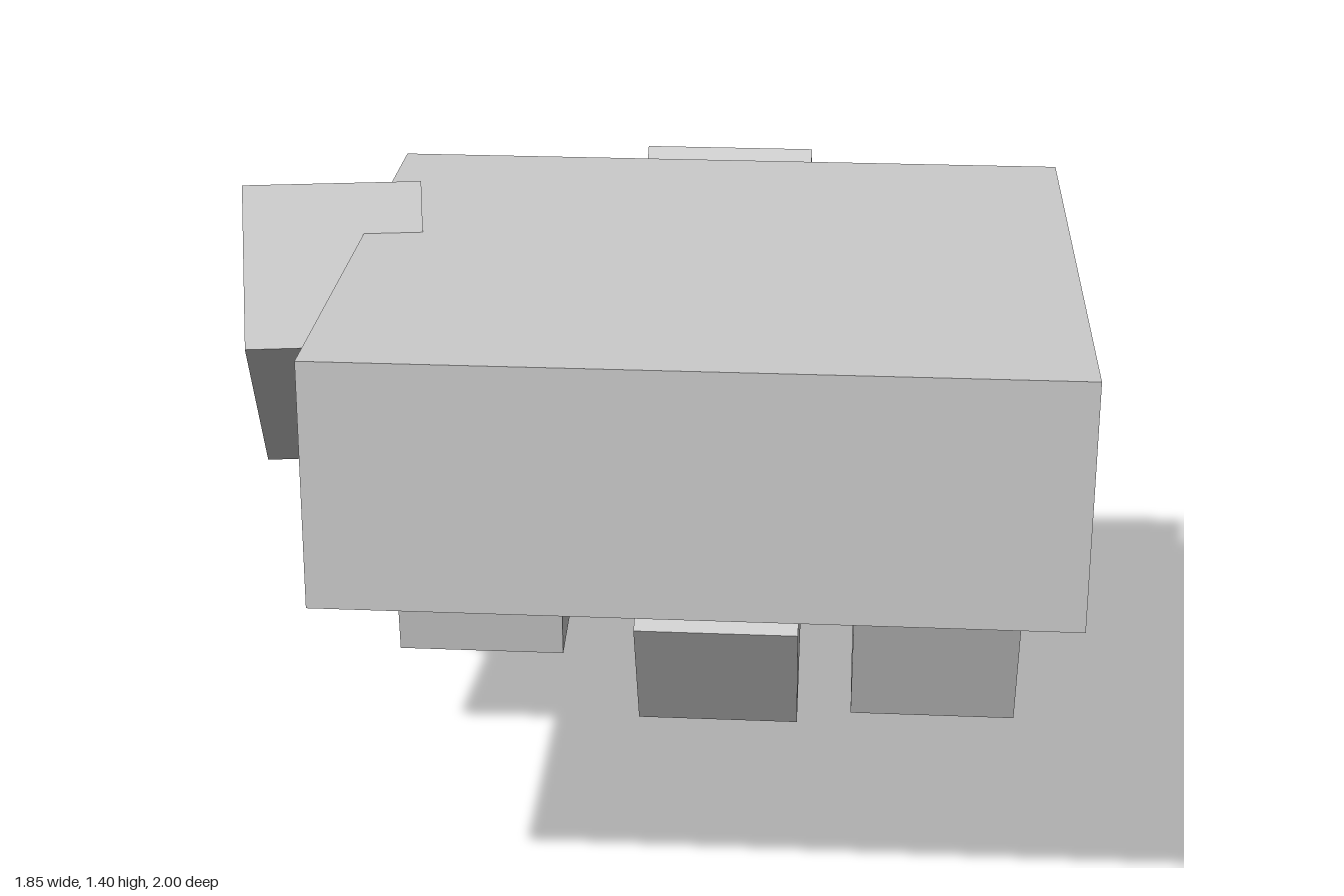
import * as THREE from 'three';

const WIDTH = 0.375;
const THICK = 0.36;
const rad = THREE.MathUtils.degToRad;
const material = new THREE.MeshStandardMaterial({ color: 0xcccccc, flatShading: true });

function block(name, geometry) {
  const mesh = new THREE.Mesh(geometry, material);
  mesh.name = name;
  return mesh;
}

// Upper segment hangs from its knuckle; lower segment curls back from its tip.
function finger(name, x, upper, lower) {
  const group = new THREE.Group();
  group.name = name;
  group.position.x = x;

  const top = block('upperSegment',
    new THREE.BoxGeometry(WIDTH, upper.length, THICK).translate(0, -upper.length / 2, THICK / 2));
  top.position.set(0, upper.y, upper.z);
  top.rotation.x = rad(upper.angle);

  const tip = block('lowerSegment',
    new THREE.BoxGeometry(WIDTH, THICK, lower.length).translate(0, THICK / 2, -lower.length / 2));
  tip.position.set(0, lower.y, lower.z);
  tip.rotation.x = rad(lower.angle);

  group.add(top, tip);
  return group;
}

export function createModel() {
  const model = new THREE.Group();
  model.name = 'blockHand';

  // Palm slab
  const palm = block('palm', new THREE.BoxGeometry(1.475, 0.5, 1.41));
  palm.position.set(0.1875, 1.06, 0.295);
  model.add(palm);

  // Three curled fingers
  model.add(
    finger('outerFinger', 0.6875,
      { y: 1.24, z: -0.61, angle: 18, length: 0.78 },
      { y: 0.09, z: -0.07, angle: 19.4, length: 0.78 }),
    finger('middleFinger', 0.1875,
      { y: 1.32, z: -0.48, angle: 35.3, length: 0.9 },
      { y: 0, z: -0.19, angle: 30.5, length: 0.9 }),
    finger('innerFinger', -0.3475,
      { y: 1.24, z: -0.497, angle: 25, length: 0.56 },
      { y: 0.254, z: 0.004, angle: 8.1, length: 0.9 }),
  );

  // Thumb leaning along the side of the palm
  const thumb = block('thumb', new THREE.BoxGeometry(WIDTH, THICK, 0.9));
  thumb.position.set(-0.665, 0.99, -0.1);
  thumb.rotation.set(rad(-36.3), rad(9.2), 0, 'YXZ');
  model.add(thumb);

  return model;
}
